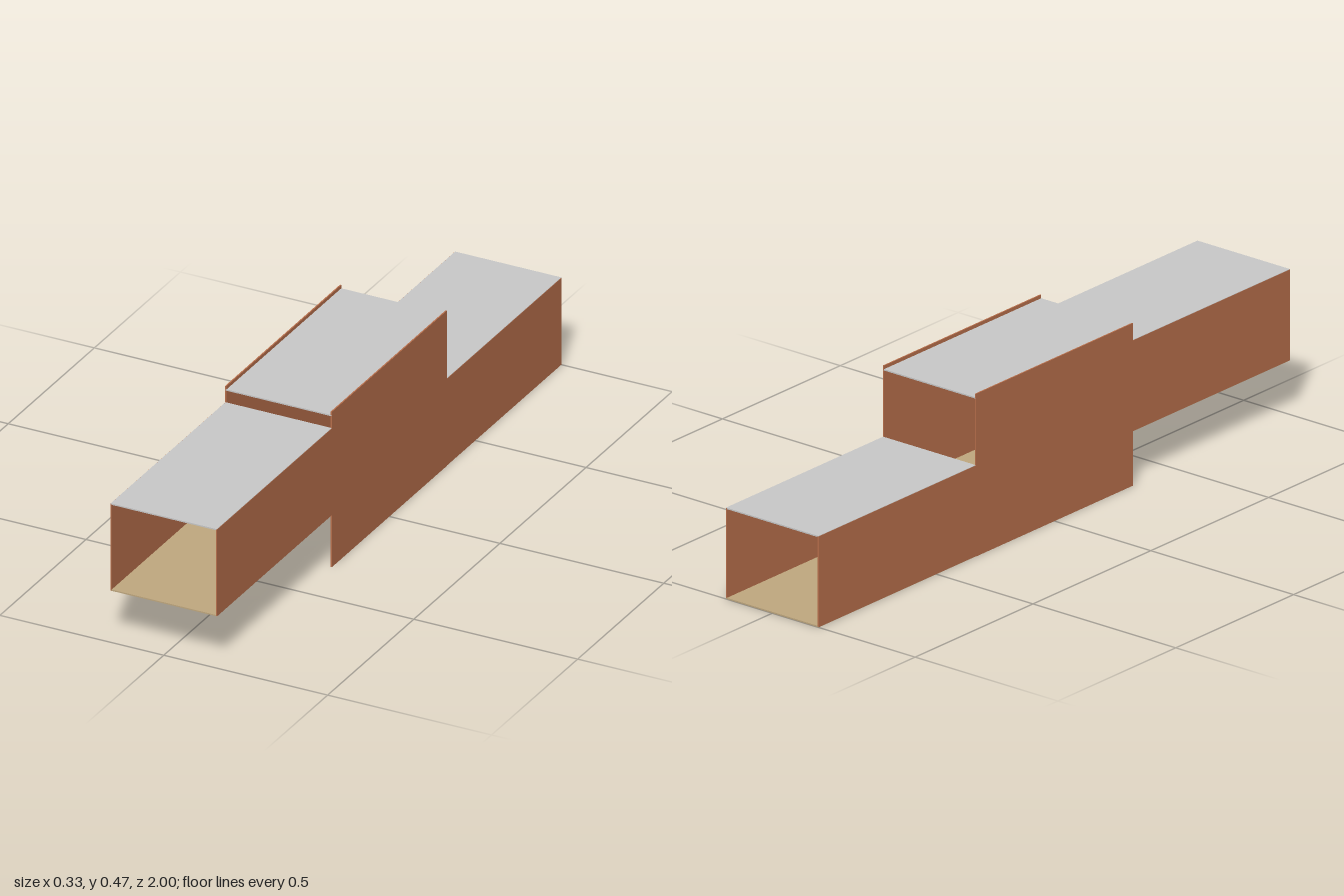
import * as THREE from 'three';

const brick = new THREE.MeshStandardMaterial({ color: 0xb86f4b });
brick.name = 'brick';
const sand = new THREE.MeshStandardMaterial({ color: 0xc0a87f });
sand.name = 'sand';
const concrete = new THREE.MeshStandardMaterial({ color: 0xc8c8c8 });
concrete.name = 'concrete';

const T = 0.004;        // panel thickness
const HALF = 0.163;     // half of the overall width
const END = 1 / 3;      // the stair section runs from -END to END
const RISE = 0.0525;
const RUN = 0.2;
const TOP = 3 * RISE;   // upper floor level

// Box given by its limits on each axis
function panel(parent, name, material, [x0, x1], [y0, y1], [z0, z1]) {
  const mesh = new THREE.Mesh(new THREE.BoxGeometry(x1 - x0, y1 - y0, z1 - z0), material);
  mesh.position.set((x0 + x1) / 2, (y0 + y1) / 2, (z0 + z1) / 2);
  mesh.name = name;
  parent.add(mesh);
}

// Horizontal slab between the walls
function slab(parent, name, material, y, z) {
  panel(parent, name, material, [-HALF + 0.001, HALF - 0.001], [y, y + T], z);
}

// Pair of side walls
function walls(parent, y, z) {
  panel(parent, 'leftWall', brick, [HALF - T, HALF], y, z);
  panel(parent, 'rightWall', brick, [-HALF, -HALF + T], y, z);
}

// Straight open-ended passage
function corridor(name, floorY, z) {
  const group = new THREE.Group();
  group.name = name;
  walls(group, [floorY + 0.001, floorY + 0.265], z);
  slab(group, 'floor', sand, floorY, z);
  slab(group, 'ceiling', concrete, floorY + 0.262, z);
  return group;
}

// Taller middle section with three steps climbing to the front
function stairSection() {
  const group = new THREE.Group();
  group.name = 'stairSection';
  walls(group, [0, 0.473], [-END, END]);
  slab(group, 'ceiling', concrete, 0.459, [-END, END]);
  for (let i = 0; i < 3; i++) {
    const z = -END + i * RUN;
    const y = (i + 1) * RISE;
    slab(group, 'tread', sand, y, [z, i === 2 ? END : z + RUN + T]);
    panel(group, 'riser', brick, [-HALF + T, HALF - T], [y - RISE + T, y], [z, z + T]);
  }
  return group;
}

export function createModel() {
  const model = new THREE.Group();
  model.name = 'steppedCorridor';
  model.add(
    corridor('upperCorridor', TOP, [END, 1]),
    stairSection(),
    corridor('lowerCorridor', 0, [-1, -END]),
  );
  return model;
}
